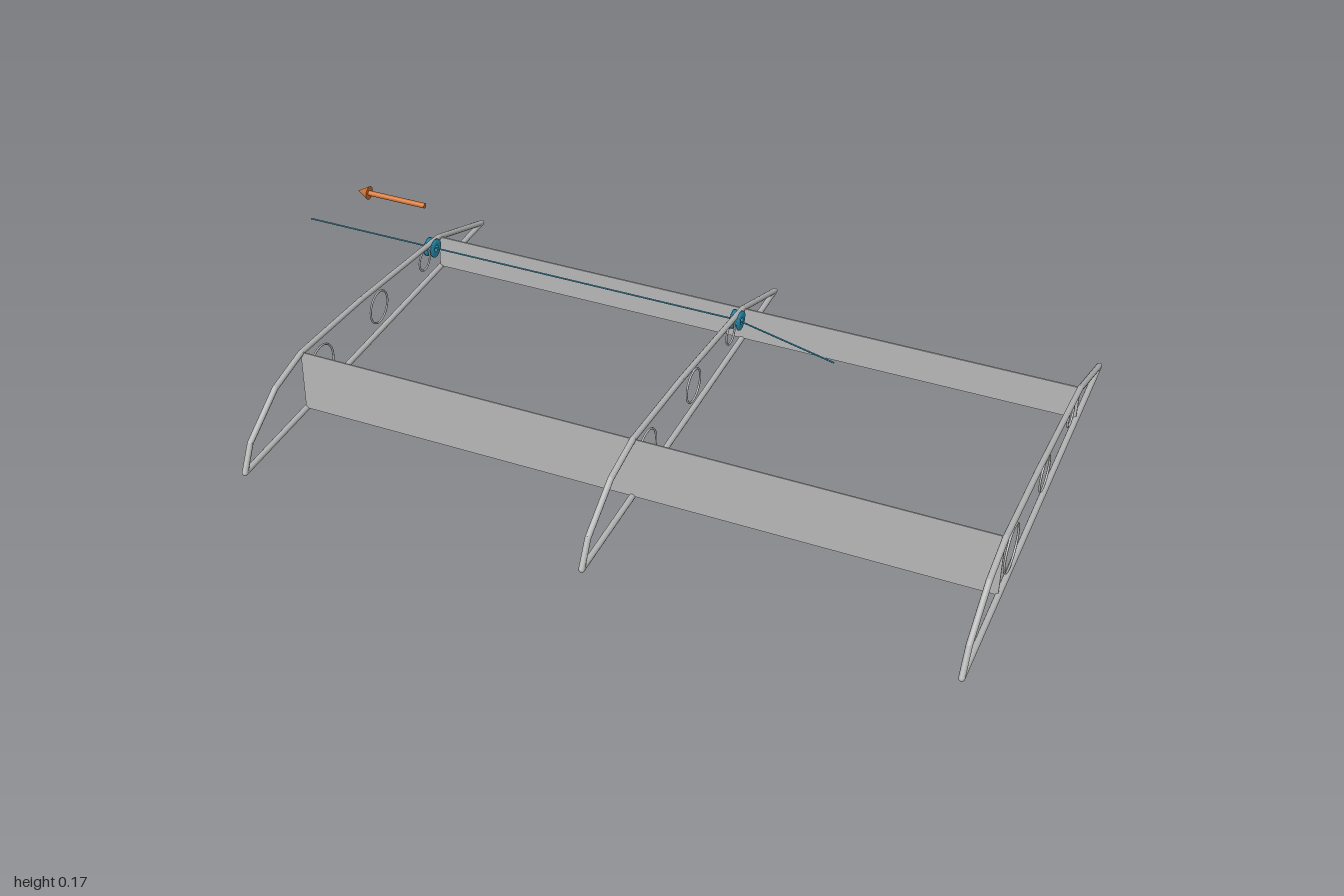
import * as THREE from 'three';

const grey = new THREE.MeshStandardMaterial({ color: 0xb6b6b6 });
grey.name = 'frameGrey';
const blue = new THREE.MeshStandardMaterial({ color: 0x2c96b8 });
blue.name = 'cableBlue';
const orange = new THREE.MeshStandardMaterial({ color: 0xd0722f });
orange.name = 'arrowOrange';

const RIB_X = [-0.65, 0.17, 0.99];
const PULLEY_Y = 0.087, PULLEY_Z = -0.315;

function add(parent, name, geometry, material, x = 0, y = 0, z = 0) {
  const mesh = new THREE.Mesh(geometry, material);
  mesh.name = name;
  mesh.position.set(x, y, z);
  parent.add(mesh);
  return mesh;
}

// Round bar between two points
function rod(parent, name, a, b, radius, material, sides = 12) {
  const dir = b.clone().sub(a);
  const mesh = add(parent, name, new THREE.CylinderGeometry(radius, radius, dir.length(), sides), material);
  mesh.position.copy(a).add(b).multiplyScalar(0.5);
  mesh.quaternion.setFromUnitVectors(new THREE.Vector3(0, 1, 0), dir.normalize());
  return mesh;
}

// Closed rib outline of round bars with three rings inside
function makeRib(x) {
  const rib = new THREE.Group();
  rib.name = 'rib';
  const outline = [
    [0.583, 0.008], [0.55, 0.068], [0.432, 0.14], [0.315, 0.163],
    [0.04, 0.143], [-0.35, 0.098], [-0.585, 0.01],
  ].map(([z, y]) => new THREE.Vector3(0, y, z));
  outline.forEach((p, i) => {
    rod(rib, 'ribBar', p, outline[(i + 1) % outline.length], 0.007, grey);
    add(rib, 'ribJoint', new THREE.SphereGeometry(0.007, 12, 8), grey, 0, p.y, p.z);
  });
  for (const [z, y, r] of [[0.237, 0.075, 0.054], [-0.038, 0.075, 0.041], [-0.273, 0.073, 0.027]]) {
    add(rib, 'ribRing', new THREE.TorusGeometry(r, 0.0025, 8, 40), grey, 0, y, z).rotation.y = Math.PI / 2;
  }
  rib.position.x = x;
  return rib;
}

// Grooved pulley with a centre hole, turned about x
function makePulley(parent, x) {
  const profile = [
    [0.009, -0.012], [0.024, -0.012], [0.024, -0.007], [0.016, -0.003],
    [0.016, 0.003], [0.024, 0.007], [0.024, 0.012], [0.009, 0.012], [0.009, -0.012],
  ].map(([r, h]) => new THREE.Vector2(r, h));
  const geometry = new THREE.LatheGeometry(profile, 28);
  add(parent, 'pulley', geometry, blue, x, PULLEY_Y, PULLEY_Z).rotation.z = Math.PI / 2;
}

export function createModel() {
  const model = new THREE.Group();
  model.name = 'wingFrame';

  RIB_X.forEach((x) => model.add(makeRib(x)));

  // Spars joining the ribs
  const span = RIB_X[2] - RIB_X[0];
  const midX = (RIB_X[2] + RIB_X[0]) / 2;
  add(model, 'frontSpar', new THREE.BoxGeometry(span, 0.155, 0.003), grey, midX, 0.0875, 0.315);
  add(model, 'rearSpar', new THREE.BoxGeometry(span, 0.085, 0.004), grey, midX, 0.0545, -0.354);

  // Pulleys and the cable running over them
  makePulley(model, RIB_X[0]);
  makePulley(model, RIB_X[1]);
  const bend = new THREE.Vector3(RIB_X[1], PULLEY_Y, PULLEY_Z);
  rod(model, 'cable', new THREE.Vector3(-1, PULLEY_Y, PULLEY_Z), bend, 0.002, blue, 8);
  rod(model, 'cableEnd', bend, new THREE.Vector3(0.44, PULLEY_Y, -0.237), 0.002, blue, 8);

  // Arrow showing the pull direction
  const arrow = new THREE.Group();
  arrow.name = 'arrow';
  arrow.position.set(0, 0.126, -0.431);
  rod(arrow, 'arrowShaft', new THREE.Vector3(-0.895, 0, 0), new THREE.Vector3(-0.73, 0, 0), 0.007, orange, 16);
  add(arrow, 'arrowHead', new THREE.ConeGeometry(0.018, 0.032, 24), orange, -0.908, 0, 0).rotation.z = Math.PI / 2;
  model.add(arrow);

  return model;
}
